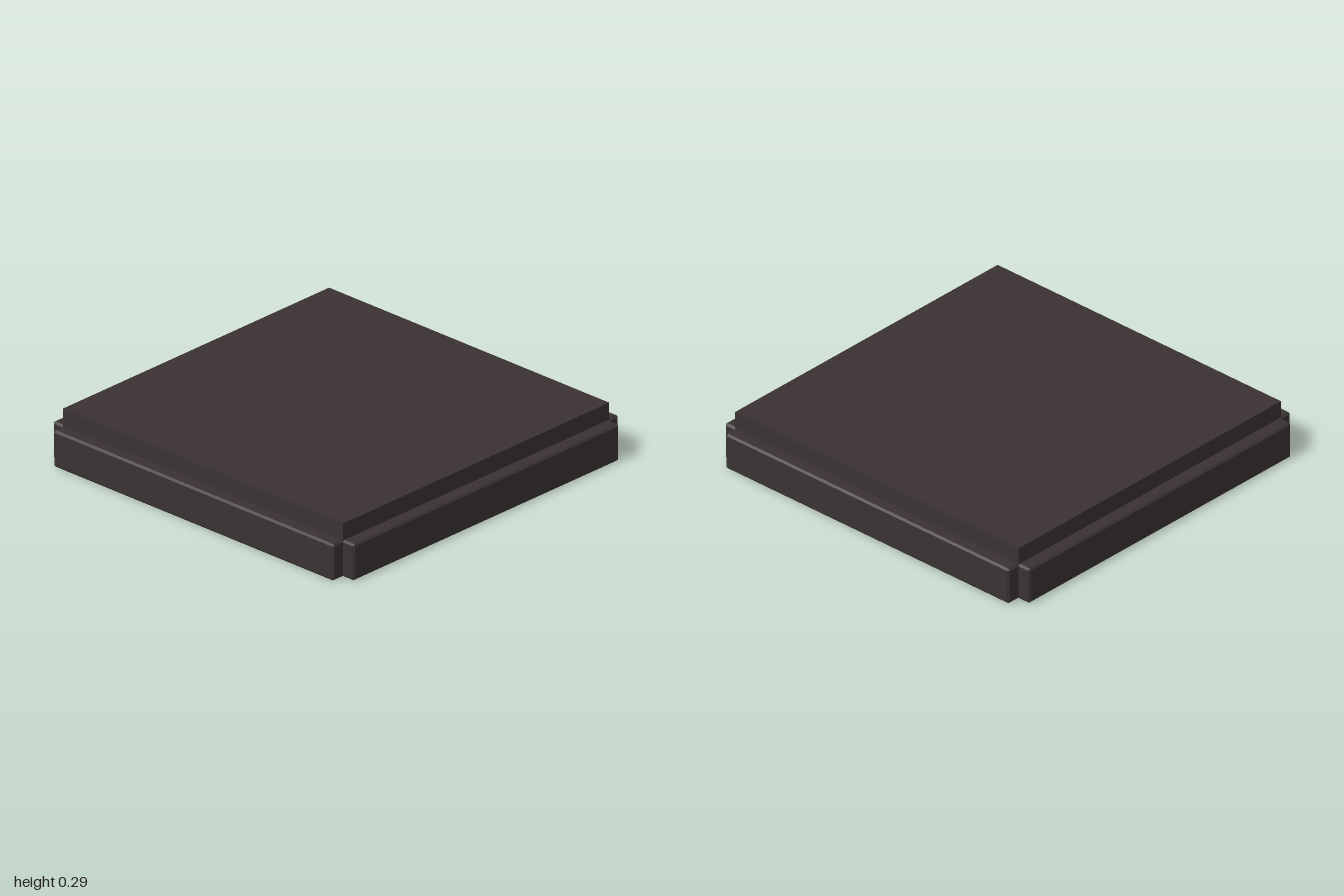
import * as THREE from 'three';
import { ConvexGeometry } from 'three/addons/geometries/ConvexGeometry.js';

const BEAM = 0.14;       // beam width
const BEAM_H = 0.195;    // beam height
const EDGE = 0.93;       // centre line of the outer beams, half the slab
const COFFER = EDGE / 2; // centre of each coffer
const OPENING = EDGE - BEAM; // clear width of each coffer
const SLAB_Y = 0.188, SLAB_TOP = 0.286;

function material(name, color) {
  const m = new THREE.MeshStandardMaterial({ color });
  m.name = name;
  return m;
}

// Box with every edge cut at 45 degrees
function chamferBox(w, h, d, c) {
  const points = [];
  for (const x of [-w / 2, w / 2]) for (const y of [-h / 2, h / 2]) for (const z of [-d / 2, d / 2]) {
    const cx = Math.sign(x) * c, cy = Math.sign(y) * c, cz = Math.sign(z) * c;
    points.push(
      new THREE.Vector3(x, y - cy, z - cz),
      new THREE.Vector3(x - cx, y, z - cz),
      new THREE.Vector3(x - cx, y - cy, z));
  }
  return new ConvexGeometry(points);
}

export function createModel() {
  const darkWood = material('dark wood', 0x3a3232);
  const redWood = material('red wood', 0x874736);
  const brass = material('brass', 0xb8965a);

  const model = new THREE.Group();
  model.name = 'cofferedCeilingPanel';

  function add(parent, name, geometry, mat, x, y, z) {
    const mesh = new THREE.Mesh(geometry, mat);
    mesh.name = name;
    mesh.position.set(x, y, z);
    parent.add(mesh);
    return mesh;
  }

  // Flat slab across the top, let slightly into the beams
  const slab = new THREE.BoxGeometry(2 * EDGE, SLAB_TOP - SLAB_Y, 2 * EDGE);
  add(model, 'slab', slab, darkWood, 0, (SLAB_Y + SLAB_TOP) / 2, 0);

  // Three chamfered beams each way: two on the edges, one through the middle
  const beam = chamferBox(2 * EDGE, BEAM_H, BEAM, 0.01);
  for (const p of [-EDGE, 0, EDGE]) {
    const kind = p === 0 ? 'crossBeam' : 'edgeBeam';
    add(model, kind, beam, darkWood, 0, BEAM_H / 2, p);
    add(model, kind, beam, darkWood, p, BEAM_H / 2, 0).rotation.y = Math.PI / 2;
  }

  // Coffers: a recessed panel framed by a flat trim
  const trimW = 0.04, trimH = 0.012, panelH = 0.006;
  const panelY = SLAB_Y - panelH / 2 + 0.001;
  const panel = new THREE.BoxGeometry(OPENING, panelH, OPENING);
  const trim = new THREE.BoxGeometry(OPENING, trimH, trimW);
  for (const sx of [-1, 1]) {
    for (const sz of [-1, 1]) {
      const coffer = new THREE.Group();
      coffer.name = 'coffer';
      coffer.position.set(sx * COFFER, 0, sz * COFFER);
      add(coffer, 'cofferPanel', panel, redWood, 0, panelY, 0);
      for (let i = 0; i < 4; i++) {
        const a = i * Math.PI / 2, r = (OPENING - trimW) / 2;
        add(coffer, 'cofferTrim', trim, brass, Math.sin(a) * r, 0.178 + trimH / 2, Math.cos(a) * r).rotation.y = a;
      }
      model.add(coffer);
    }
  }
  return model;
}
